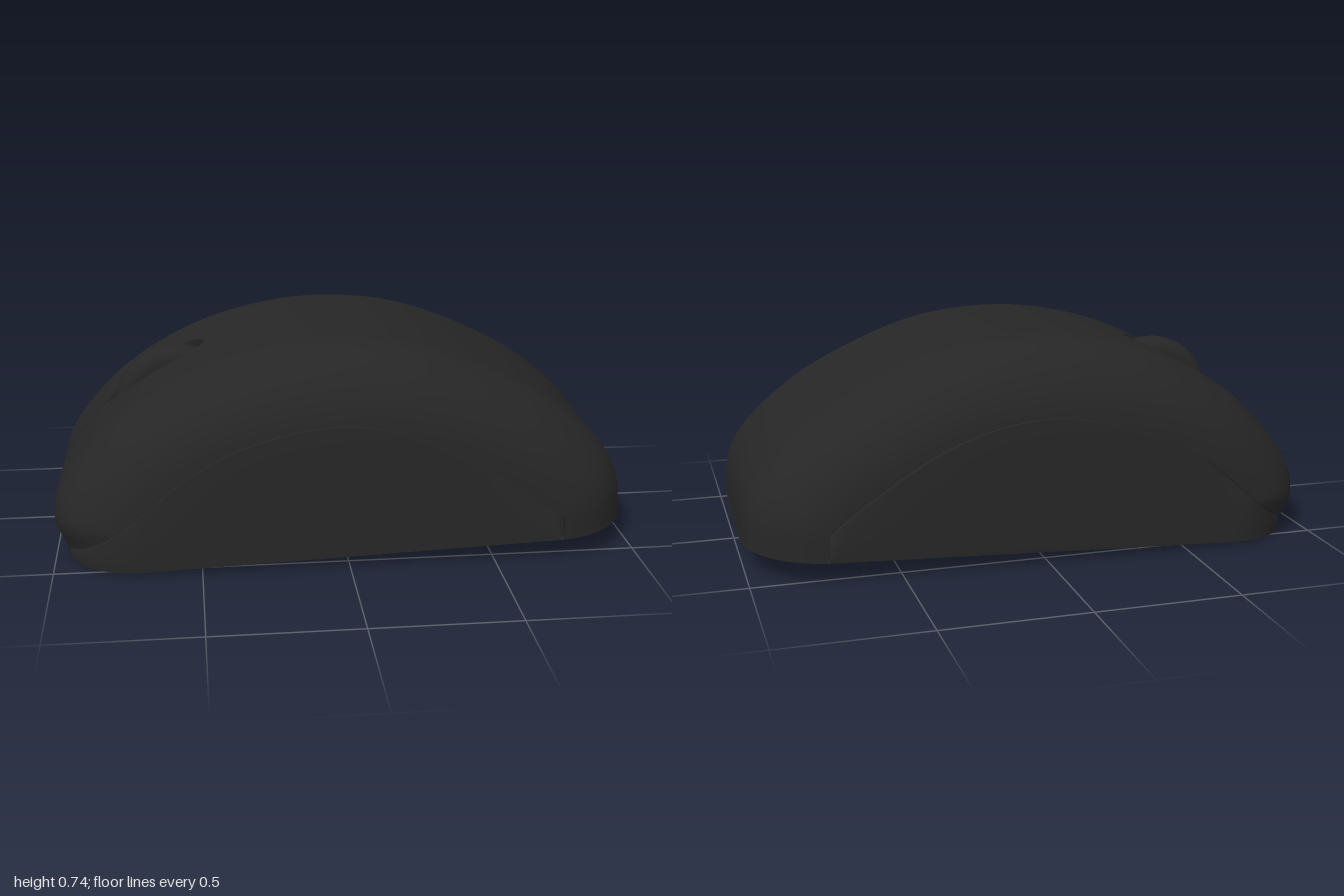
import * as THREE from 'three';
import { toCreasedNormals } from 'three/addons/utils/BufferGeometryUtils.js';

const V = (x, y, z = 0) => new THREE.Vector3(x, y, z);
const ROWS = 280, HALF = 0.275, ROUND = 0.275, GAP = 0.013, GROOVE = 0.03;

// Paired control points: outer side profile, and the lip of the side panel
const outer = new THREE.CatmullRomCurve3([
  [-0.965, 0.045], [-1, 0.13], [-0.985, 0.23], [-0.9, 0.36], [-0.74, 0.515], [-0.5, 0.652], [-0.26, 0.725],
  [-0.03, 0.75], [0.24, 0.725], [0.5, 0.635], [0.74, 0.505], [0.93, 0.335], [0.985, 0.23], [1, 0.0945],
].map(p => V(...p)));
const lip = new THREE.CatmullRomCurve3([
  [-0.955, 0.04], [-0.87, 0.095], [-0.77, 0.165], [-0.68, 0.24], [-0.55, 0.345], [-0.38, 0.44], [-0.2, 0.495],
  [-0.04, 0.518], [0.15, 0.498], [0.36, 0.425], [0.56, 0.305], [0.735, 0.172], [0.745, 0.14], [0.745, 0.0834],
].map(p => V(...p)));

const baseY = x => 0.0095 + 0.0436 * (x + 0.95);
const profile = outer.getPoints(ROWS);
const edges = [V(-0.957, 0.005), ...profile].slice(0, -1).map((p, i) => new THREE.Line3(p, profile[i]));

// Half width of the body at a point of the side elevation: rounded off near the profile
const nearest = V(0, 0);
function skinZ(x, y) {
  const p = V(x, y);
  let d = ROUND;
  for (const e of edges) d = Math.min(d, e.closestPointToPoint(p, true, nearest).distanceTo(p));
  const k = 1 - d / ROUND;
  return (HALF + ROUND * Math.sqrt(Math.max(0, 1 - k * k))) * (1 + 0.04 * (0.4 - y));
}

const inward = (curve, t) => {
  const g = curve.getTangent(t);
  return V(g.y, -g.x);
};

// Surface through rows of points
function loft(rows) {
  const n = rows[0].length, index = [];
  for (let i = 0; i < rows.length - 1; i++) {
    for (let j = 0; j < n - 1; j++) {
      const a = i * n + j, b = a + n;
      index.push(a, a + 1, b, a + 1, b + 1, b);
    }
  }
  const g = new THREE.BufferGeometry().setFromPoints(rows.flat());
  g.setIndex(index);
  return toCreasedNormals(g, 0.5);
}
const mirrorRow = row => row.map(p => V(p.x, p.y, -p.z)).reverse();

// Half width of the opening in the top: front seam, then the wheel slot
function opening(p, t) {
  if (t > 0.5 || p.x > -0.47) return [0, 0];
  const k = Math.max(0, Math.abs(p.x + 0.64) - 0.09) / 0.08;
  const w = k < 1 ? 0.082 * Math.sqrt(1 - k * k) : 0;
  return p.x < -0.64 && w < 0.008 ? [0.008, 0.02] : [w, 0.07];
}

// Shell: from the centre line out to the panel lip
function shellRow(t, p) {
  const a = lip.getPoint(t), [w, depth] = opening(p, t);
  const f = p.clone().addScaledVector(inward(outer, t), depth);
  const row = [V(f.x, f.y, 0), V(f.x, f.y, w), V(p.x, p.y, w)];
  for (let j = 0; j <= 16; j++) {
    const q = p.clone().lerp(a, (j / 16) ** 2);
    row.push(V(q.x, q.y, skinZ(q.x, q.y)));
  }
  const end = row[row.length - 1];
  row.push(V(end.x, end.y, end.z - GROOVE));
  return row;
}

// Side panel: groove floor, groove wall, then the dished face down to the base
function panelRow(t) {
  const a = lip.getPoint(t);
  const b = a.clone().addScaledVector(inward(lip, t), GAP);
  const low = baseY(b.x);
  b.y = Math.max(b.y, low);
  const zb = skinZ(b.x, b.y);
  const row = [V(a.x, a.y, skinZ(a.x, a.y) - GROOVE), V(b.x, b.y, zb - GROOVE)];
  for (let j = 0; j <= 12; j++) {
    const v = 1 - j / 12, y = low + (b.y - low) * v;
    row.push(V(b.x, y, skinZ(b.x, y) - 0.015 * v * v));
  }
  return row;
}

export function createModel() {
  const model = new THREE.Group();
  model.name = 'computerMouse';
  const material = new THREE.MeshStandardMaterial({ color: 0x262626, side: THREE.DoubleSide });
  const add = (name, geometry) => {
    const mesh = new THREE.Mesh(geometry, material);
    mesh.name = name;
    model.add(mesh);
    return mesh;
  };

  const shell = profile.map((p, i) => shellRow(i / ROWS, p));
  add('topShell', loft(shell.map(r => [...mirrorRow(r), ...r])));

  const panel = profile.map((p, i) => panelRow(i / ROWS));
  add('leftOfFrontPanel', loft(panel)).name = 'frontSidePanel';
  add('backSidePanel', loft(panel.map(mirrorRow)));

  // Nose strip joining the two panels under the front seam
  const nose = panel[0];
  add('noseStrip', loft([mirrorRow(nose).reverse(), nose]));

  // Underside: strips across the width, from the nose to the tail
  const rim = panel.map(r => r[r.length - 1]);
  const tail = shell[ROWS].slice(2, -1).reverse();
  add('underside', loft([...rim, ...tail].map(p => [p, V(p.x, p.y, -p.z)])));

  // Scroll wheel with rounded shoulders
  const R = 0.22, W = 0.06, tread = [[0, -W], [R - 0.07, -W]];
  for (let i = 0; i <= 12; i++) {
    const a = -Math.PI / 2 + Math.PI * i / 12;
    tread.push([R - 0.05 + 0.05 * Math.cos(a), W * Math.sin(a)]);
  }
  tread.push([R - 0.07, W], [0, W]);
  const wheel = add('scrollWheel', new THREE.LatheGeometry(tread.map(p => new THREE.Vector2(...p)), 64));
  wheel.rotation.x = Math.PI / 2;
  wheel.position.set(-0.57, 0.435, 0);

  model.rotation.y = -0.0155;
  const root = new THREE.Group();
  root.name = 'mouse';
  root.add(model);
  return root;
}
